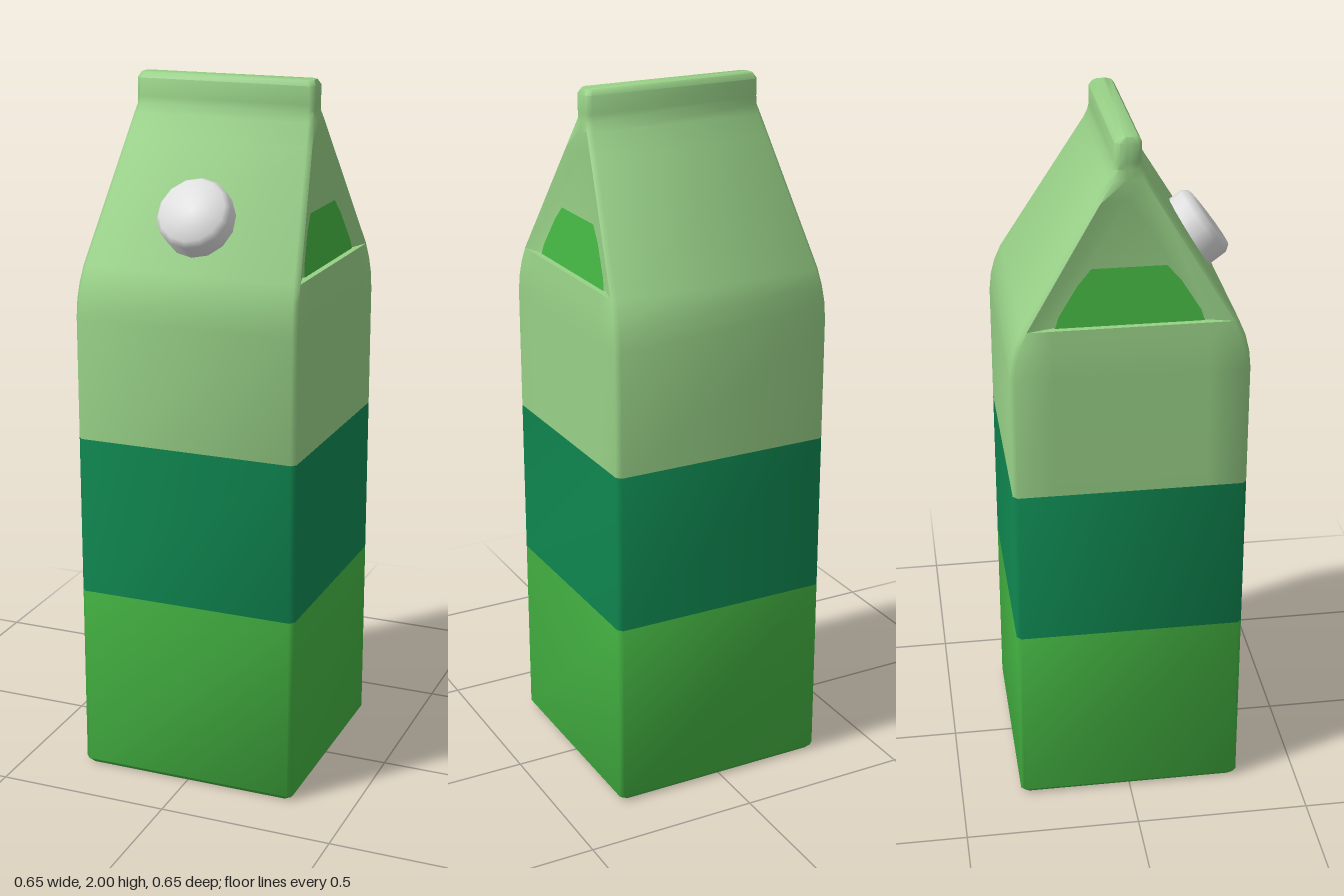
import * as THREE from 'three';
import { toCreasedNormals } from 'three/addons/utils/BufferGeometryUtils.js';

const material = (name, color) => {
  const m = new THREE.MeshStandardMaterial({ color });
  m.name = name;
  return m;
};

// Rectangle with chamfered corners; with `inner`, each x side gains two points that can be pushed in by `depth`
function section(y, w, d, inner, depth = 0, c = 0.013) {
  const quarter = [[w - c, d], [w, d - c]];
  if (inner !== undefined) quarter.push([w - depth, inner]);
  const half = [...quarter, ...quarter.map(([x, z]) => [x, -z]).reverse()];
  const loop = [...half, ...half.map(([x, z]) => [-x, -z])];
  return loop.map(([x, z]) => new THREE.Vector3(x, y, z));
}

// Skin through sections listed from bottom to top
function loft(sections, capBottom, capTop) {
  const p = [];
  const tri = (...v) => v.forEach((q) => p.push(q.x, q.y, q.z));
  const n = sections[0].length;
  for (let s = 0; s < sections.length - 1; s++) {
    const lo = sections[s], hi = sections[s + 1];
    for (let i = 0; i < n; i++) {
      const j = (i + 1) % n;
      tri(lo[i], lo[j], hi[j]);
      tri(lo[i], hi[j], hi[i]);
    }
  }
  const cap = (loop, up) => {
    const mid = new THREE.Vector3(0, loop[0].y, 0);
    for (let i = 0; i < n; i++) {
      const a = loop[i], b = loop[(i + 1) % n];
      if (up) tri(a, b, mid); else tri(b, a, mid);
    }
  };
  if (capBottom) cap(sections[0], false);
  if (capTop) cap(sections[sections.length - 1], true);
  const g = new THREE.BufferGeometry();
  g.setAttribute('position', new THREE.Float32BufferAttribute(p, 3));
  return toCreasedNormals(g, 0.9);
}

export function createModel() {
  const group = new THREE.Group();
  const paleGreen = material('paleGreen', 0x98d187);
  const darkGreen = material('darkGreen', 0x0f8851);
  const brightGreen = material('brightGreen', 0x45b643);
  const lightGrey = material('lightGrey', 0xdedede);
  brightGreen.side = THREE.DoubleSide;

  const add = (name, geometry, mat) => {
    const mesh = new THREE.Mesh(geometry, mat);
    mesh.name = name;
    group.add(mesh);
    return mesh;
  };

  // Lower body and middle band
  const R = 0.325;
  add('lowerBody', loft([section(0, 0.313, 0.313), section(0.014, R, R), section(0.55, R, R)], true, false), brightGreen);
  add('middleBand', loft([section(0.55, R, R), section(1.01, R, R)]), darkGreen);

  // Upper body, rounded shoulders, gable roof with sunken sides, and the sealed ridge
  const roofW = (y) => 0.317 - (y - 1.5) * 0.131;
  const roofD = (y) => 0.29 - (y - 1.5) * 0.61;
  const sunk = 0.02, base = 0.21, tip = 0.004;
  add('upperBodyAndRoof', loft([
    section(1.01, R, R, base),
    section(1.36, R, R, base),
    section(1.41, 0.324, 0.32, base),
    section(1.455, 0.321, 0.309, base),
    section(1.5, roofW(1.5), roofD(1.5), base),
    section(1.5, roofW(1.5), roofD(1.5), base, sunk),
    section(1.83, roofW(1.83), roofD(1.83), tip, sunk),
    section(1.89, roofW(1.89), roofD(1.89), tip),
    section(1.915, 0.26, 0.041, tip),
    section(1.935, 0.262, 0.036, tip),
    section(1.985, 0.262, 0.036, tip),
    section(2.0, 0.254, 0.026, tip),
  ], false, true), paleGreen);

  // Painted patches lying on the sunken gable sides
  const outline = [[0.2, 1.5], [0.19, 1.53], [0.138, 1.612], [0.1, 1.655]];
  const points = [...outline, ...outline.map(([z, y]) => [-z, y]).reverse()];
  const patch = new THREE.ShapeGeometry(new THREE.Shape(points.map(([z, y]) => new THREE.Vector2(z, y))));
  const pos = patch.attributes.position;
  for (let i = 0; i < pos.count; i++) {
    const z = pos.getX(i), y = pos.getY(i);
    pos.setXYZ(i, roofW(y) - sunk + 0.003, y, -z);
  }
  patch.computeVertexNormals();
  add('leftGablePatch', patch, brightGreen);
  add('rightGablePatch', patch, brightGreen).rotation.y = Math.PI;

  // Screw cap, tilted out of the front roof panel
  const profile = [[0.105, 0], [0.105, 0.103], [0.093, 0.12], [0, 0.12]];
  const capGeometry = new THREE.LatheGeometry(profile.map(([r, y]) => new THREE.Vector2(r, y)), 14);
  const cap = add('screwCap', toCreasedNormals(capGeometry, 1.05), lightGrey);
  cap.position.set(0, 1.6, 0.165);
  cap.rotation.x = Math.acos(0.6);

  return group;
}
